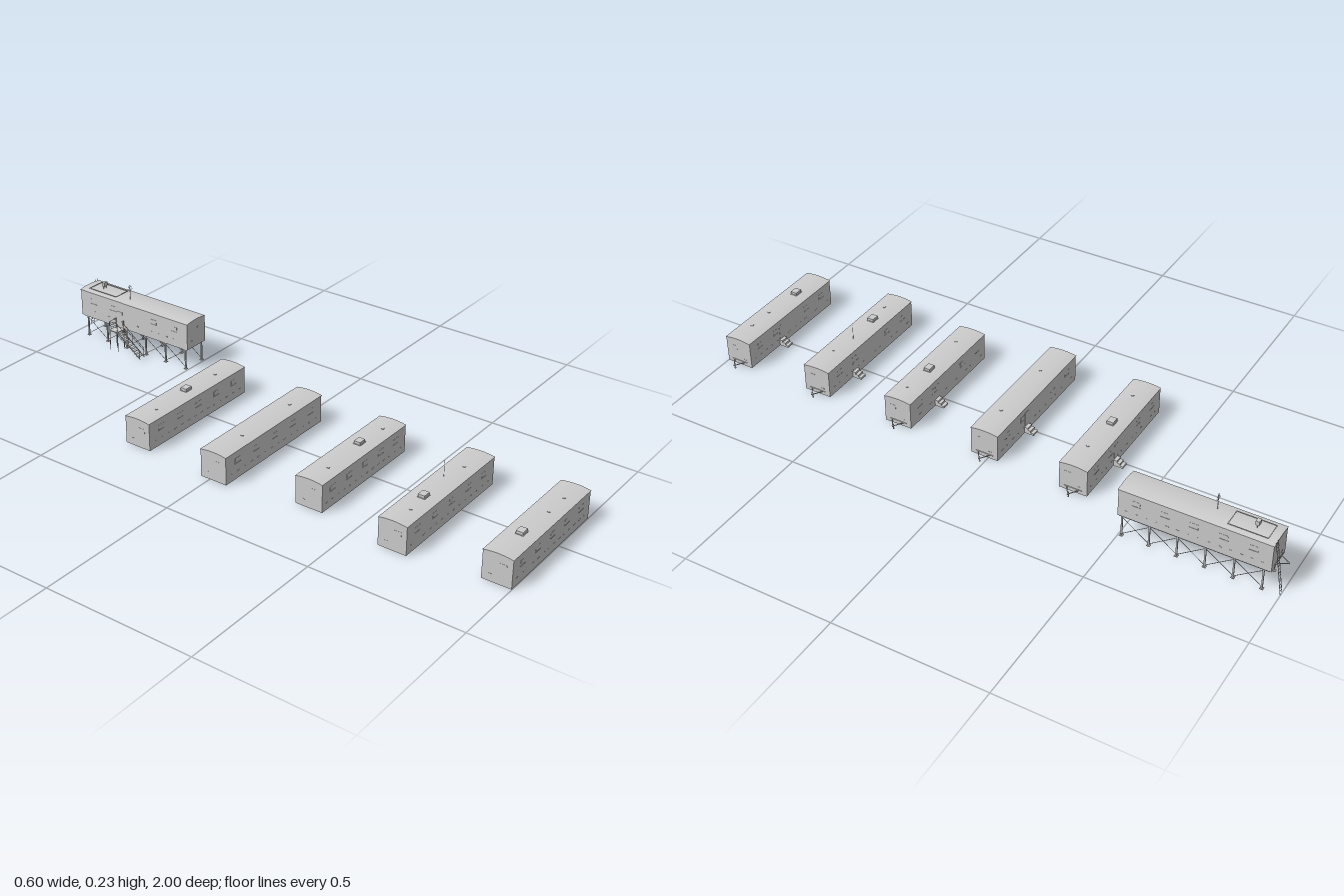
import * as THREE from 'three';

const grey = new THREE.MeshStandardMaterial({ color: 0xcccccc, flatShading: true });
const sheet = new THREE.MeshStandardMaterial({ color: 0xcccccc, side: THREE.DoubleSide, flatShading: true });
const W = 0.094;     // cabin width
const RISE = 0.005;  // height of the roof arch

function add(parent, name, geometry, material = grey) {
  const mesh = new THREE.Mesh(geometry, material);
  mesh.name = name;
  parent.add(mesh);
  return mesh;
}
function box(parent, name, w, h, d, x, y, z) {
  const mesh = add(parent, name, new THREE.BoxGeometry(w, h, d));
  mesh.position.set(x, y, z);
  return mesh;
}
// Thin round bar between two points
function bar(parent, name, a, b, r = 0.001) {
  const from = new THREE.Vector3(...a), dir = new THREE.Vector3(...b).sub(from);
  const mesh = add(parent, name, new THREE.CylinderGeometry(r, r, dir.length(), 6));
  mesh.position.copy(from).addScaledVector(dir, 0.5);
  mesh.quaternion.setFromUnitVectors(new THREE.Vector3(0, 1, 0), dir.normalize());
  return mesh;
}
// Points of a shallow arch from +half to -half
function arch(half, base, rise, n = 10) {
  return Array.from({ length: n + 1 }, (_, i) => {
    const t = 1 - 2 * i / n;
    return new THREE.Vector2(half * t, base + rise * (1 - t * t));
  });
}

// Cabin shell: length along x, hitch at +x, door on -z
function cabin(name, len, wallH) {
  const g = new THREE.Group();
  g.name = name;
  const h = W / 2, L = len / 2;
  const end = new THREE.Shape([new THREE.Vector2(-h, 0), new THREE.Vector2(h, 0), ...arch(h, wallH, RISE)]);
  for (const s of [-1, 1]) {
    const wall = add(g, 'endWall', new THREE.ShapeGeometry(end), sheet);
    wall.rotation.y = s * Math.PI / 2;
    wall.position.x = s * L;
    const side = add(g, 'sideWall', new THREE.PlaneGeometry(len, wallH), sheet);
    side.position.set(0, wallH / 2, s * h);
    if (s < 0) side.rotation.y = Math.PI;

    // Windows, sills and the row of skirt vents
    for (let i = 0; i < 5; i++) {
      const x = (i - 2) * len * 0.19;
      if (s < 0 && Math.abs(x) < 0.01) continue;
      box(g, 'window', 0.026, 0.017, 0.001, x, 0.062, s * h);
      box(g, 'windowSill', 0.028, 0.0015, 0.003, x, 0.053, s * h);
    }
    for (let i = 0; i < 14; i++)
      box(g, 'skirtVent', 0.01, 0.003, 0.0012, (i - 6.5) * len * 0.068, 0.024, s * h);
    box(g, 'endWindow', 0.001, 0.014, 0.022, s * L, 0.062, 0.018);
    box(g, 'endVent', 0.0012, 0.003, 0.012, s * L, 0.024, -0.02);
  }
  // Arched roof sheet with a small overhang
  const top = arch(h + 0.001, wallH + 0.0015, RISE);
  const under = arch(h + 0.001, wallH, RISE).reverse();
  const roof = add(g, 'roof', new THREE.ExtrudeGeometry(new THREE.Shape([...top, ...under]),
    { depth: len + 0.003, bevelEnabled: false }));
  roof.rotation.y = Math.PI / 2;
  roof.position.x = -L - 0.0015;
  return g;
}

// A-frame drawbar with coupler
function hitch(g, x, y) {
  for (const s of [-1, 1]) bar(g, 'drawbar', [x, y, s * 0.021], [x + 0.032, y, 0], 0.0016);
  bar(g, 'drawbarBeam', [x, y, -0.03], [x, y, 0.03], 0.0016);
  box(g, 'coupler', 0.005, 0.004, 0.004, x + 0.031, y, 0);
}

function trailer({ x0, x1, z, door, ac, vents, whip }) {
  const len = x1 - x0, cx = (x0 + x1) / 2;
  const g = cabin('trailer', len, 0.0915);
  g.position.set(cx, 0, z);
  hitch(g, len / 2, 0.013);
  bar(g, 'jack', [len / 2 + 0.027, 0, 0], [len / 2 + 0.027, 0.018, 0], 0.0014);
  bar(g, 'jackFoot', [len / 2 + 0.027, 0, 0], [len / 2 + 0.027, 0.002, 0], 0.003);

  // Door and entry steps
  box(g, 'door', 0.02, 0.052, 0.0015, door - cx, 0.048, -W / 2);
  for (let i = 0; i < 3; i++) {
    const h = 0.021 - i * 0.007;
    box(g, 'step', 0.025, h, 0.011, door - cx, h / 2, -W / 2 - 0.0055 - i * 0.0105);
  }
  // Roof fittings
  if (ac !== undefined) {
    box(g, 'airConditioner', 0.027, 0.011, 0.022, ac - cx, 0.1025, 0);
    box(g, 'airConditionerBase', 0.03, 0.003, 0.025, ac - cx, 0.098, 0);
  }
  for (const v of vents) bar(g, 'roofVent', [v - cx, 0.095, 0.008], [v - cx, 0.0995, 0.008], 0.0055);
  if (whip !== undefined) bar(g, 'whipAntenna', [whip - cx, 0.095, -0.01], [whip - cx, 0.152, -0.01], 0.0006);
  return g;
}

// Cabin on braced stilts with stair, ladder and roof gear
function raisedOffice() {
  const len = 0.471, L = len / 2, floor = 0.075;
  const g = new THREE.Group();
  g.name = 'raisedOffice';
  const body = cabin('raisedCabin', len, 0.092);
  body.position.y = floor;
  g.add(body);
  box(g, 'floorDeck', len, 0.002, W, 0, floor + 0.001, 0);
  box(body, 'door', 0.022, 0.055, 0.0015, 0.06, 0.03, -W / 2);
  hitch(g, L, 0.086);

  // Legs, feet, beams and X-bracing
  const legs = Array.from({ length: 6 }, (_, i) => -0.2225 + i * 0.087);
  for (const s of [-1, 1]) {
    const z = s * 0.042;
    box(g, 'floorBeam', len - 0.01, 0.004, 0.004, 0, floor - 0.002, z);
    legs.forEach((x, i) => {
      box(g, 'leg', 0.0045, floor, 0.0045, x, floor / 2, z);
      box(g, 'foot', 0.011, 0.002, 0.011, x, 0.001, z);
      if (i === 5) return;
      bar(g, 'sideBrace', [x, 0.006, z], [legs[i + 1], 0.068, z], 0.0009);
      bar(g, 'sideBrace', [x, 0.068, z], [legs[i + 1], 0.006, z], 0.0009);
    });
  }
  for (const x of legs) {
    box(g, 'crossBeam', 0.004, 0.004, 0.084, x, floor - 0.003, 0);
  }

  // Landing with posts and rails
  const zi = -W / 2, zo = -0.084, deck = 0.072;
  box(g, 'landing', 0.036, 0.003, zi - zo, 0.06, deck, (zi + zo) / 2);
  for (const x of [0.043, 0.077]) for (const z of [zi - 0.003, zo + 0.001])
    bar(g, 'landingPost', [x, 0, z], [x, 0.105, z], 0.0013);
  for (const y of [0.09, 0.105]) {
    bar(g, 'landingRail', [0.043, y, zo + 0.001], [0.077, y, zo + 0.001]);
    bar(g, 'landingRail', [0.077, y, zo + 0.001], [0.077, y, zi]);
  }
  // Stair flight with handrails
  for (const z of [zo + 0.001, -0.06]) {
    bar(g, 'stairStringer', [0.042, deck, z], [-0.055, 0.001, z], 0.0018);
    bar(g, 'handrail', [0.043, 0.105, z], [-0.053, 0.034, z]);
    for (const t of [0.5, 1])
      bar(g, 'handrailPost', [0.043 - 0.096 * t, deck * (1 - t), z], [0.043 - 0.096 * t, 0.105 - 0.071 * t, z]);
  }
  for (let i = 1; i < 10; i++)
    box(g, 'stairTread', 0.009, 0.0015, 0.024, 0.042 - i * 0.0097, deck * (1 - i / 10), -0.0715);

  // Roof access ladder leaning on the end wall
  for (const z of [0.027, 0.04]) bar(g, 'ladderRail', [0.266, 0, z], [0.237, 0.178, z], 0.0009);
  for (let i = 1; i < 17; i++) {
    const t = i / 17, x = 0.266 - 0.029 * t;
    bar(g, 'ladderRung', [x, 0.178 * t, 0.027], [x, 0.178 * t, 0.04], 0.0007);
  }

  // Roof frame and raised equipment box
  const top = 0.174;
  for (const z of [-0.03, 0.03]) bar(g, 'roofFrame', [0.09, top, z], [0.21, top, z], 0.0011);
  for (const x of [0.09, 0.21]) bar(g, 'roofFrame', [x, top, -0.03], [x, top, 0.03], 0.0011);
  box(g, 'equipmentBox', 0.012, 0.014, 0.016, 0.167, 0.191, 0);
  for (const z of [-0.006, 0.006]) bar(g, 'equipmentLeg', [0.167, 0.171, z], [0.167, 0.186, z]);

  // Antenna mast with crossbars
  bar(g, 'mast', [0.04, 0.168, -0.013], [0.04, 0.226, -0.013], 0.001);
  [0.007, 0.009, 0.011, 0.013].forEach((r, i) => {
    const y = 0.223 - i * 0.005;
    bar(g, 'mastCrossbar', [0.04, y, -0.013 - r], [0.04, y, -0.013 + r], 0.0006);
  });

  g.rotation.y = Math.PI / 2;
  g.position.set(0.25, 0, -0.7325);
  return g;
}

export function createModel() {
  const model = new THREE.Group();
  model.name = 'trailerCamp';
  const rows = [
    { x0: -0.282, x1: 0.193, z: -0.297, door: 0.013, ac: -0.047, vents: [-0.2, 0.09] },
    { x0: -0.301, x1: 0.184, z: 0.014, door: 0.01, vents: [-0.17, 0.07] },
    { x0: -0.255, x1: 0.183, z: 0.328, door: 0.032, ac: 0.002, vents: [-0.17, 0.115] },
    { x0: -0.296, x1: 0.177, z: 0.64, door: 0.038, ac: -0.138, vents: [-0.218, 0.07], whip: -0.014 },
    { x0: -0.263, x1: 0.177, z: 0.952, door: 0.013, ac: -0.138, vents: [0.0, 0.09] },
  ];
  for (const row of rows) model.add(trailer(row));
  model.add(raisedOffice());
  return model;
}
